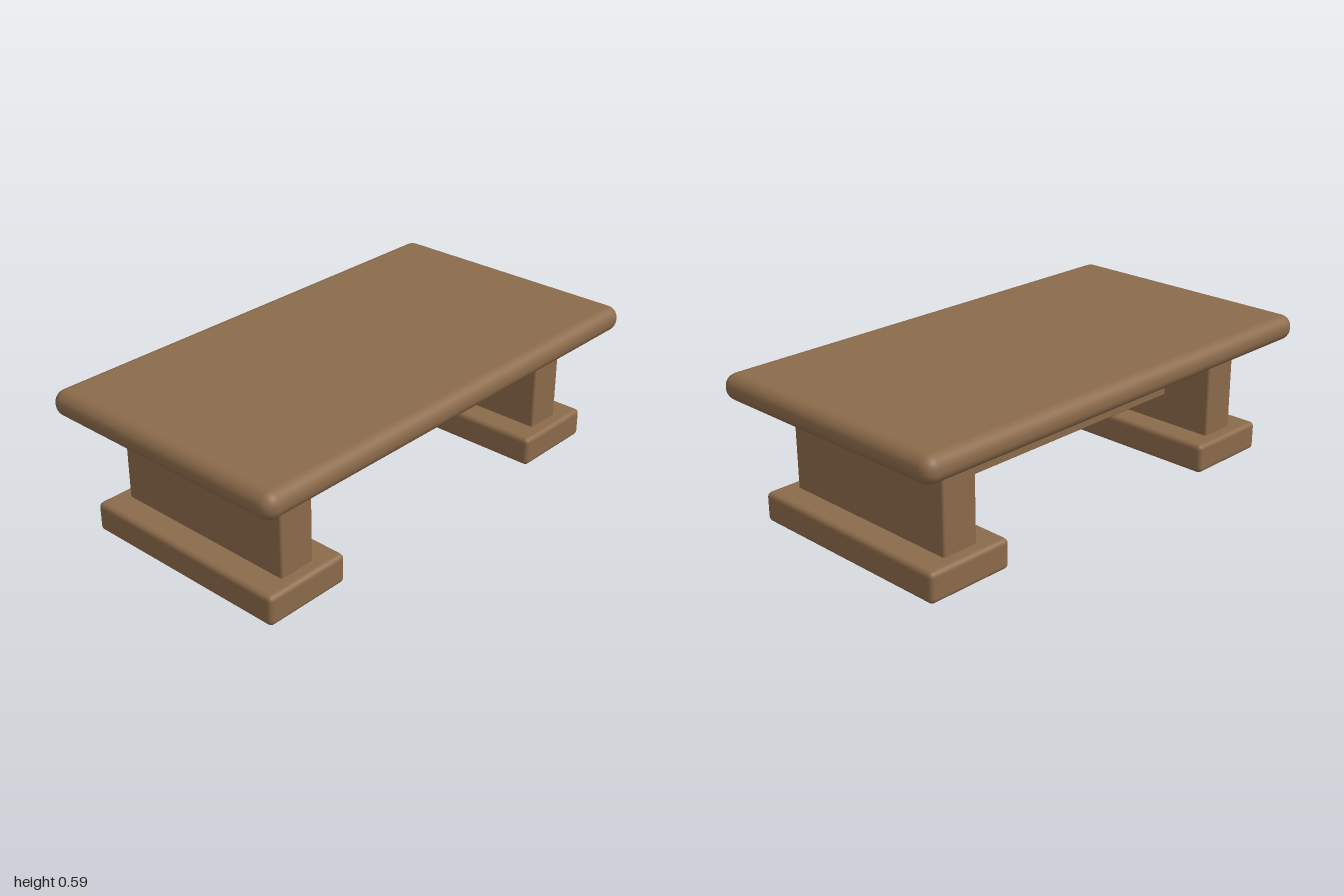
import * as THREE from 'three';
import { RoundedBoxGeometry } from 'three/addons/geometries/RoundedBoxGeometry.js';

export function createModel() {
  const table = new THREE.Group();
  table.name = 'lowTable';
  const wood = new THREE.MeshStandardMaterial({ color: 0x8b6a4a });
  wood.name = 'brownWood';

  // Rounded block given by its extents on each axis
  function block(name, [x0, x1], [y0, y1], [z0, z1], radius, segments = 3) {
    const geometry = new RoundedBoxGeometry(x1 - x0, y1 - y0, z1 - z0, segments, radius);
    const mesh = new THREE.Mesh(geometry, wood);
    mesh.name = name;
    mesh.position.set((x0 + x1) / 2, (y0 + y1) / 2, (z0 + z1) / 2);
    table.add(mesh);
  }

  // Top slab with fully rounded rim
  block('tableTop', [-1, 1], [0.485, 0.59], [-0.555, 0.555], 0.05, 4);

  // Slab leg and wide foot on each side
  for (const [side, s] of [['left', 1], ['right', -1]]) {
    const span = (a, b) => (s > 0 ? [a, b] : [-b, -a]);
    block(side + 'Leg', span(0.645, 0.8), [0.1, 0.5], [-0.4, 0.4], 0.01);
    block(side + 'Foot', span(0.54, 0.91), [0, 0.12], [-0.455, 0.455], 0.02);
  }

  // Stretcher between the legs, set toward the back
  block('stretcher', [-0.66, 0.66], [0.24, 0.328], [-0.18, -0.05], 0.004);

  return table;
}
